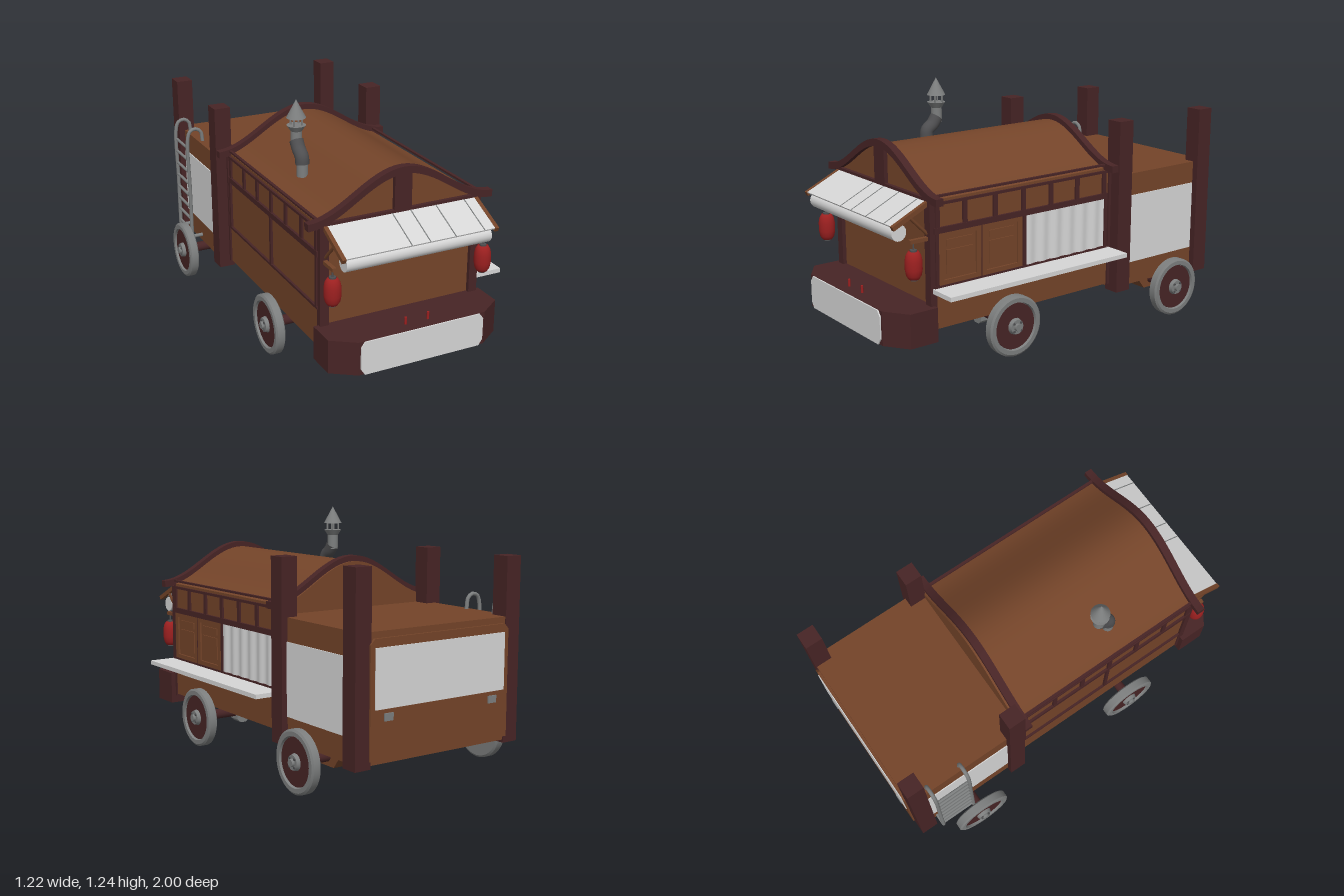
import * as THREE from 'three';
import { toCreasedNormals } from 'three/addons/utils/BufferGeometryUtils.js';

const mat = (name, color, side = THREE.FrontSide) => {
  const m = new THREE.MeshStandardMaterial({ color, side });
  m.name = name;
  return m;
};

export function createModel() {
  const g = new THREE.Group();
  g.name = 'foodWagon';
  const wood = mat('brown wood', 0x744429);
  const dark = mat('dark red wood', 0x472425);
  const pale = mat('pale panel', 0xd6d6d6, THREE.DoubleSide);
  const steel = mat('grey metal', 0x7c7e7e);
  const iron = mat('dark iron', 0x4e4e50);
  const red = mat('red lantern', 0x9c2020);

  const add = (name, geo, m, x = 0, y = 0, z = 0, parent = g) => {
    const mesh = new THREE.Mesh(geo, m);
    mesh.name = name;
    mesh.position.set(x, y, z);
    parent.add(mesh);
    return mesh;
  };
  // Box given by its limits on each axis
  const box = (name, m, x0, x1, y0, y1, z0, z1) =>
    add(name, new THREE.BoxGeometry(x1 - x0, y1 - y0, z1 - z0), m, (x0 + x1) / 2, (y0 + y1) / 2, (z0 + z1) / 2);
  // Same box on both sides of the wagon
  const pair = (name, m, x0, x1, y0, y1, z0, z1) => {
    box(name, m, x0, x1, y0, y1, z0, z1);
    box(name, m, -x1, -x0, y0, y1, z0, z1);
  };
  const extrude = (name, pts, m, z0, z1) => {
    const geo = new THREE.ExtrudeGeometry(new THREE.Shape(pts.map(p => new THREE.Vector2(...p))),
      { depth: z1 - z0, bevelEnabled: false });
    return add(name, toCreasedNormals(geo, 0.5), m, 0, 0, z0);
  };
  // Bar between two points
  const rod = (name, m, a, b, r, sides = 12) => {
    const p = new THREE.Vector3(...a), q = new THREE.Vector3(...b);
    const mesh = add(name, new THREE.CylinderGeometry(r, r, p.distanceTo(q), sides), m);
    mesh.position.copy(p).add(q).multiplyScalar(0.5);
    mesh.quaternion.setFromUnitVectors(new THREE.Vector3(0, 1, 0), q.sub(p).normalize());
    return mesh;
  };

  // Bell-shaped roof line
  const roofY = x => 0.84 + 0.0975 * (1 + Math.cos(Math.PI * x / 0.485));
  const roofLine = (w, drop, n = 32) =>
    Array.from({ length: n + 1 }, (_, i) => { const x = w - 2 * w * i / n; return [x, roofY(x) - drop]; });

  // Front cabin with curved roof, and its end trims
  extrude('cabin', [[-0.42, 0.2], [0.42, 0.2], ...roofLine(0.42, 0.028)], wood, -0.33, 0.76);
  for (const [z0, z1] of [[0.745, 0.785], [-0.32, -0.28]])
    extrude('roofTrim', [...roofLine(0.485, 0), ...roofLine(0.485, 0.035).reverse()], dark, z0, z1);
  box('gableBeam', dark, -0.42, 0.42, 0.81, 0.828, 0.755, 0.78);
  box('gablePost', dark, -0.045, 0.045, 0.82, 1.01, 0.755, 0.78);
  pair('cornerPost', dark, 0.38, 0.425, 0.19, 0.83, 0.745, 0.78);

  // Side framing
  pair('eaveBeam', dark, 0.415, 0.43, 0.795, 0.808, -0.3, 0.76);
  pair('eaveEdge', dark, 0.415, 0.43, 0.832, 0.842, -0.3, 0.76);
  pair('middleBeam', dark, 0.415, 0.432, 0.662, 0.69, -0.3, 0.76);
  pair('sillBeam', dark, 0.415, 0.432, 0.4, 0.412, -0.3, 0.76);
  for (const z of [0.74, 0.585, 0.41, 0.24, 0.07, -0.1, -0.28])
    pair('upperDivider', dark, 0.415, 0.43, 0.69, 0.8, z - 0.012, z + 0.012);
  for (const z of [0.745, 0.235, -0.29])
    pair('lowerDivider', dark, 0.415, 0.432, 0.41, 0.665, z - 0.009, z + 0.009);
  pair('cabinRearCorner', dark, 0.415, 0.43, 0.2, 0.82, -0.33, -0.31);

  // Serving side: two framed doors, rippled curtain and counter
  for (const z of [0.615, 0.37]) {
    for (const s of [-1, 1]) {
      box('doorStile', wood, 0.415, 0.43, 0.412, 0.662, z + s * 0.107 - 0.014, z + s * 0.107 + 0.014);
      box('doorRail', wood, 0.415, 0.43, s < 0 ? 0.412 : 0.64, s < 0 ? 0.434 : 0.662, z - 0.1, z + 0.1);
    }
    box('doorPanel', wood, 0.415, 0.426, 0.46, 0.575, z - 0.075, z + 0.075);
    box('doorPanel', wood, 0.415, 0.426, 0.592, 0.625, z - 0.075, z + 0.075);
  }
  box('doorGap', dark, 0.415, 0.431, 0.412, 0.662, 0.49, 0.495);
  const curtain = new THREE.PlaneGeometry(0.505, 0.25, 60, 1);
  const cp = curtain.attributes.position;
  for (let i = 0; i < cp.count; i++) cp.setZ(i, 0.004 * Math.sin(cp.getX(i) * 75));
  curtain.computeVertexNormals();
  add('curtain', curtain, pale, 0.427, 0.537, -0.027).rotation.y = Math.PI / 2;
  box('counter', pale, 0.42, 0.57, 0.38, 0.402, -0.315, 0.77);

  // Rear box with pale panels, back plate and latches
  box('rearBox', wood, -0.455, 0.455, 0.18, 0.775, -0.98, -0.33);
  pair('sidePanel', pale, 0.453, 0.46, 0.3, 0.66, -0.89, -0.41);
  extrude('backPlate', [[-0.41, 0.2], [0.41, 0.2], [0.41, 0.72], [0.385, 0.745], [-0.385, 0.745], [-0.41, 0.72]],
    wood, -0.993, -0.975);
  box('backPanel', pale, -0.385, 0.385, 0.43, 0.705, -0.997, -0.99);
  pair('backLatch', steel, 0.285, 0.335, 0.375, 0.41, -1, -0.985);
  for (const [z0, z1] of [[-0.415, -0.325], [-0.985, -0.895]])
    pair('tallPost', dark, 0.4, 0.487, 0.165, 1.06, z0, z1);

  // Ladder on the right-hand side
  const railZ = [-0.68, -0.87];
  for (const z of railZ) {
    const path = new THREE.CatmullRomCurve3([[-0.515, 0.21], [-0.515, 0.5], [-0.515, 0.8], [-0.5, 0.838],
      [-0.47, 0.848], [-0.44, 0.83], [-0.43, 0.77]].map(([x, y]) => new THREE.Vector3(x, y, z)));
    add('ladderRail', new THREE.TubeGeometry(path, 40, 0.01, 10), steel);
    rod('ladderFoot', steel, [-0.515, 0.215, z], [-0.45, 0.215, z], 0.01);
  }
  for (let i = 0; i < 8; i++) {
    const y = 0.25 + i * 0.07;
    rod('ladderRung', steel, [-0.515, y, railZ[0]], [-0.515, y, railZ[1]], 0.008);
  }

  // Bumper block with chamfered corners (plan drawn in x and -z, raised upward)
  const plan = [[-0.45, -0.76], [-0.45, -0.91], [-0.335, -0.99], [0.335, -0.99], [0.45, -0.91], [0.45, -0.76]];
  const bumper = extrude('bumper', plan, dark, 0.15, 0.318);
  bumper.rotation.x = -Math.PI / 2;
  bumper.position.set(0, 0.15, 0);
  extrude('bumperPlate', [[-0.325, 0.18], [-0.305, 0.15], [0.305, 0.15], [0.325, 0.18], [0.325, 0.29],
    [0.305, 0.317], [-0.305, 0.317], [-0.325, 0.29]], pale, 0.988, 0.997);
  for (const x of [-0.06, 0.06]) rod('bumperPeg', red, [x, 0.31, 0.93], [x, 0.355, 0.93], 0.006);

  // Awning with rolled front edge, arms and struts
  const awning = new THREE.Group();
  awning.name = 'awning';
  awning.position.set(0, 0.81, 0.775);
  awning.rotation.x = 0.44;
  g.add(awning);
  add('awningSheet', new THREE.BoxGeometry(0.775, 0.008, 0.205), pale, 0, 0.002, 0.103, awning);
  for (const x of [-0.056, 0.04, 0.175, 0.33])
    add('awningSeam', new THREE.BoxGeometry(0.005, 0.002, 0.205), steel, x, 0.0065, 0.103, awning);
  for (const s of [-1, 1]) add('awningArm', new THREE.BoxGeometry(0.02, 0.022, 0.215), wood, s * 0.397, -0.004, 0.102, awning);
  rod('awningRoll', pale, [-0.378, 0.685, 0.915], [0.378, 0.685, 0.915], 0.039, 24);
  for (const s of [-1, 1]) {
    rod('awningStrut', wood, [s * 0.397, 0.66, 0.775], [s * 0.397, 0.765, 0.88], 0.009, 4);
    box('lanternBracket', wood, s * 0.4 - 0.01, s * 0.4 + 0.01, 0.632, 0.65, 0.77, 0.875);
  }

  // Hanging lanterns
  const lanternProfile = [[0, 0.462], [0.025, 0.464], [0.036, 0.482], [0.041, 0.51], [0.041, 0.55], [0.036, 0.576],
    [0.025, 0.594], [0, 0.596]].map(p => new THREE.Vector2(...p));
  for (const x of [-0.4, 0.4]) {
    add('lantern', new THREE.LatheGeometry(lanternProfile, 20), red, x, 0, 0.855);
    rod('lanternCap', iron, [x, 0.59, 0.855], [x, 0.602, 0.855], 0.017);
    rod('lanternBase', iron, [x, 0.456, 0.855], [x, 0.466, 0.855], 0.017);
    rod('lanternCord', iron, [x, 0.6, 0.855], [x, 0.64, 0.855], 0.004);
  }

  // Bent chimney with flared collar and cone cap
  const cx = -0.29;
  rod('chimneyBase', steel, [cx, 0.88, 0.315], [cx, 0.965, 0.315], 0.028, 20);
  const bend = new THREE.CatmullRomCurve3([[0.94, 0.315], [0.975, 0.31], [1.005, 0.275], [1.04, 0.25]]
    .map(([y, z]) => new THREE.Vector3(cx, y, z)));
  add('chimneyBend', new THREE.TubeGeometry(bend, 16, 0.034, 20), iron);
  rod('chimneyPipe', steel, [cx, 1.015, 0.25], [cx, 1.1, 0.25], 0.028, 20);
  add('chimneyCollar', new THREE.CylinderGeometry(0.047, 0.027, 0.03, 20), steel, cx, 1.103, 0.25);
  for (let i = 0; i < 4; i++) {
    const a = Math.PI / 4 + i * Math.PI / 2, x = cx + 0.03 * Math.cos(a), z = 0.25 + 0.03 * Math.sin(a);
    rod('capSupport', steel, [x, 1.11, z], [x, 1.162, z], 0.005, 8);
  }
  add('chimneyCap', new THREE.ConeGeometry(0.048, 0.09, 20), steel, cx, 1.2, 0.25);

  // Wheels: tyre, dark face, hub and bolts, turned to face outward
  const wheel = (s, x, z) => {
    const w = new THREE.Group();
    w.name = 'wheel';
    w.position.set(s * x, 0.153, z);
    w.rotation.z = -s * Math.PI / 2;
    g.add(w);
    const tyre = [[0, -0.025], [0.142, -0.025], [0.152, -0.018], [0.152, 0.018], [0.142, 0.025], [0.121, 0.025],
      [0.117, 0.01], [0, 0.01]].map(p => new THREE.Vector2(...p));
    add('tyre', toCreasedNormals(new THREE.LatheGeometry(tyre, 40), 0.5), steel, 0, 0, 0, w);
    add('wheelFace', new THREE.CylinderGeometry(0.116, 0.116, 0.006, 40), dark, 0, 0.011, 0, w);
    add('hub', new THREE.CylinderGeometry(0.036, 0.042, 0.02, 20), steel, 0, 0.022, 0, w);
    add('hubCap', new THREE.CylinderGeometry(0.018, 0.02, 0.02, 12), steel, 0, 0.035, 0, w);
    for (let i = 0; i < 4; i++) {
      const a = Math.PI / 4 + i * Math.PI / 2;
      add('hubBolt', new THREE.CylinderGeometry(0.006, 0.006, 0.006, 8), iron, 0.028 * Math.cos(a), 0.034, 0.028 * Math.sin(a), w);
    }
  };
  for (const s of [-1, 1]) {
    wheel(s, 0.5, 0.36);
    wheel(s, 0.563, -0.66);
    rod('frontAxle', dark, [s * 0.25, 0.155, 0.36], [s * 0.485, 0.155, 0.36], 0.026, 16);
    extrude('axleBracket', [[0.22, 0.205], [0.22, 0.11], [0.235, 0.098], [0.265, 0.098], [0.285, 0.115], [0.285, 0.205]]
      .map(([x, y]) => [s * x, y]), steel, 0.325, 0.395);
  }
  rod('rearAxle', dark, [-0.55, 0.155, -0.66], [0.55, 0.155, -0.66], 0.026, 16);

  // Tapered housing around the rear axle
  const housing = extrude('axleHousing', [[0.55, 0.185], [0.61, 0.108], [0.71, 0.108], [0.77, 0.185]], wood, -0.4, 0.4);
  housing.rotation.y = Math.PI / 2;
  housing.position.set(-0.4, 0, 0);
  return g;
}
